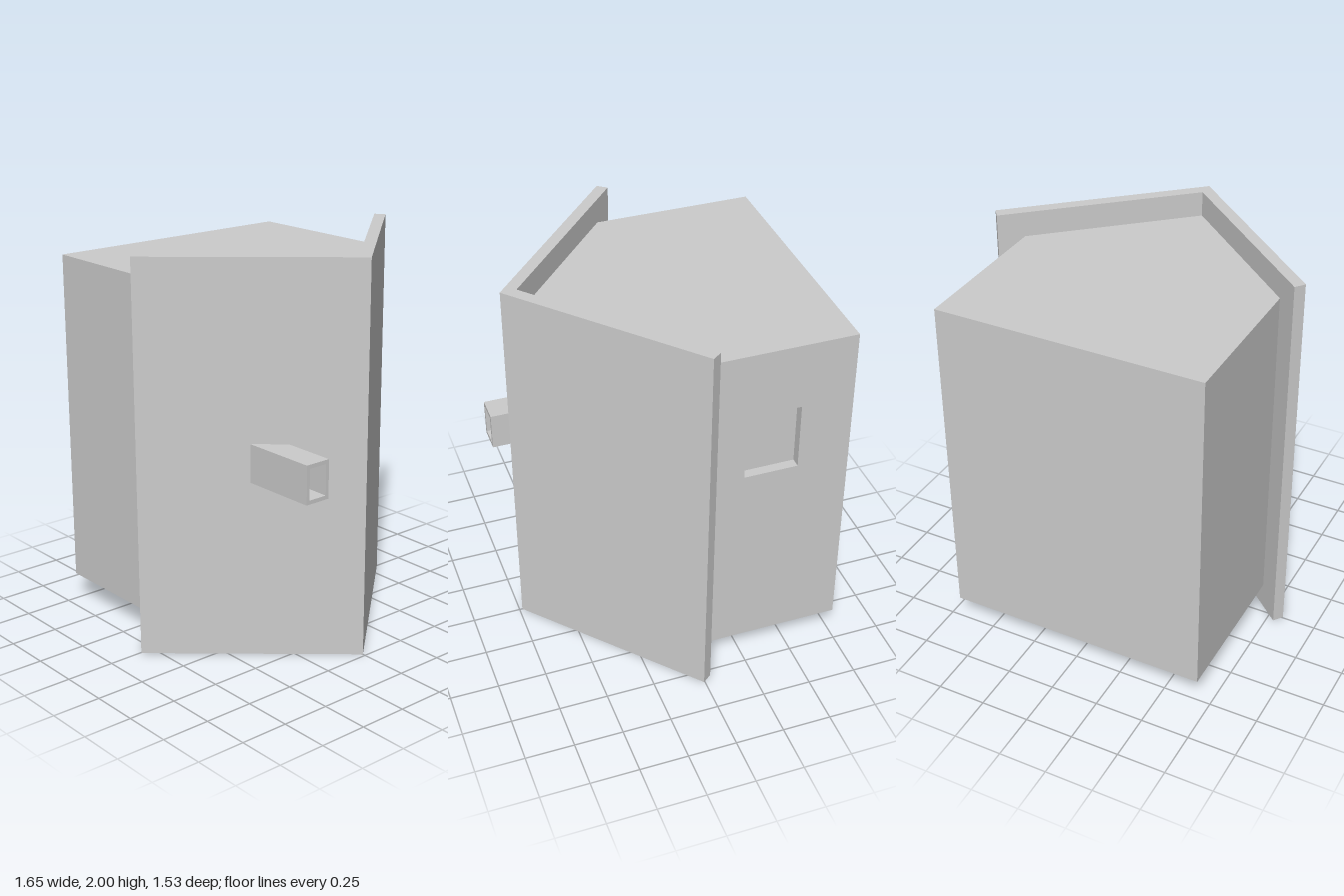
import * as THREE from 'three';

const material = new THREE.MeshStandardMaterial({ color: 0xcccccc });

function outline(points, Type = THREE.Shape) {
  return new Type(points.map(([x, y]) => new THREE.Vector2(x, y)));
}

function rect(x0, x1, y0, y1, Type) {
  return outline([[x0, y0], [x1, y0], [x1, y1], [x0, y1]], Type);
}

function extrude(shape, depth) {
  return new THREE.ExtrudeGeometry(shape, { depth, bevelEnabled: false, curveSegments: 8 });
}

// Plan shape given as [x, z], raised from y0 to y1
function plan(points, y0, y1, hole) {
  const shape = outline(points.map(([x, z]) => [x, -z]));
  if (hole) shape.holes.push(hole);
  return extrude(shape, y1 - y0).rotateX(-Math.PI / 2).translate(0, y0, 0);
}

export function createModel() {
  const group = new THREE.Group();
  const add = (name, geometry) => {
    const mesh = new THREE.Mesh(geometry, material);
    mesh.name = name;
    group.add(mesh);
  };

  const w = 0.685, back = -0.765, tip = 0.655, slope = 0.885;
  const bottom = 0.135, top = 1.87, recess = 0.05;
  const front = (x) => tip - slope * Math.abs(x);
  const pentagon = (x1) => [[-w, back], [x1, back], [x1, front(x1)], [0, tip], [-w, front(w)]];

  // Folded front shield
  add('frontShield', plan([
    [-0.823, 0.005], [0, 0.735], [0.823, 0.005],
    [0.787, -0.042], [0, tip], [-0.787, -0.042],
  ], 0, 2));

  // Five-sided housing behind the shield
  add('housing', plan(pentagon(w - recess), bottom + recess, top));

  // Floor slab with a shallow round socket
  const socket = new THREE.Path().absarc(0, -0.277, 0.124, 0, Math.PI * 2, true);
  add('floorWithSocket', plan(pentagon(w), bottom, bottom + recess, socket));

  // Side wall with a shallow rectangular window
  const wall = rect(-0.09, -back, bottom + recess, top);
  wall.holes.push(rect(0.225, 0.5, 1.175, 1.525, THREE.Path));
  add('windowWall', extrude(wall, recess).rotateY(Math.PI / 2).translate(w - recess, 0, 0));

  // Hollow rectangular barrel through the shield, closed at its inner end
  const barrel = rect(-0.415, -0.278, 0.905, 1.1);
  barrel.holes.push(rect(-0.397, -0.296, 0.925, 1.08, THREE.Path));
  add('barrel', extrude(barrel, 0.405).translate(0, 0, 0.36));
  add('barrelEnd', new THREE.BoxGeometry(0.11, 0.165, 0.14).translate(-0.3465, 1.0025, 0.43));

  return group;
}
